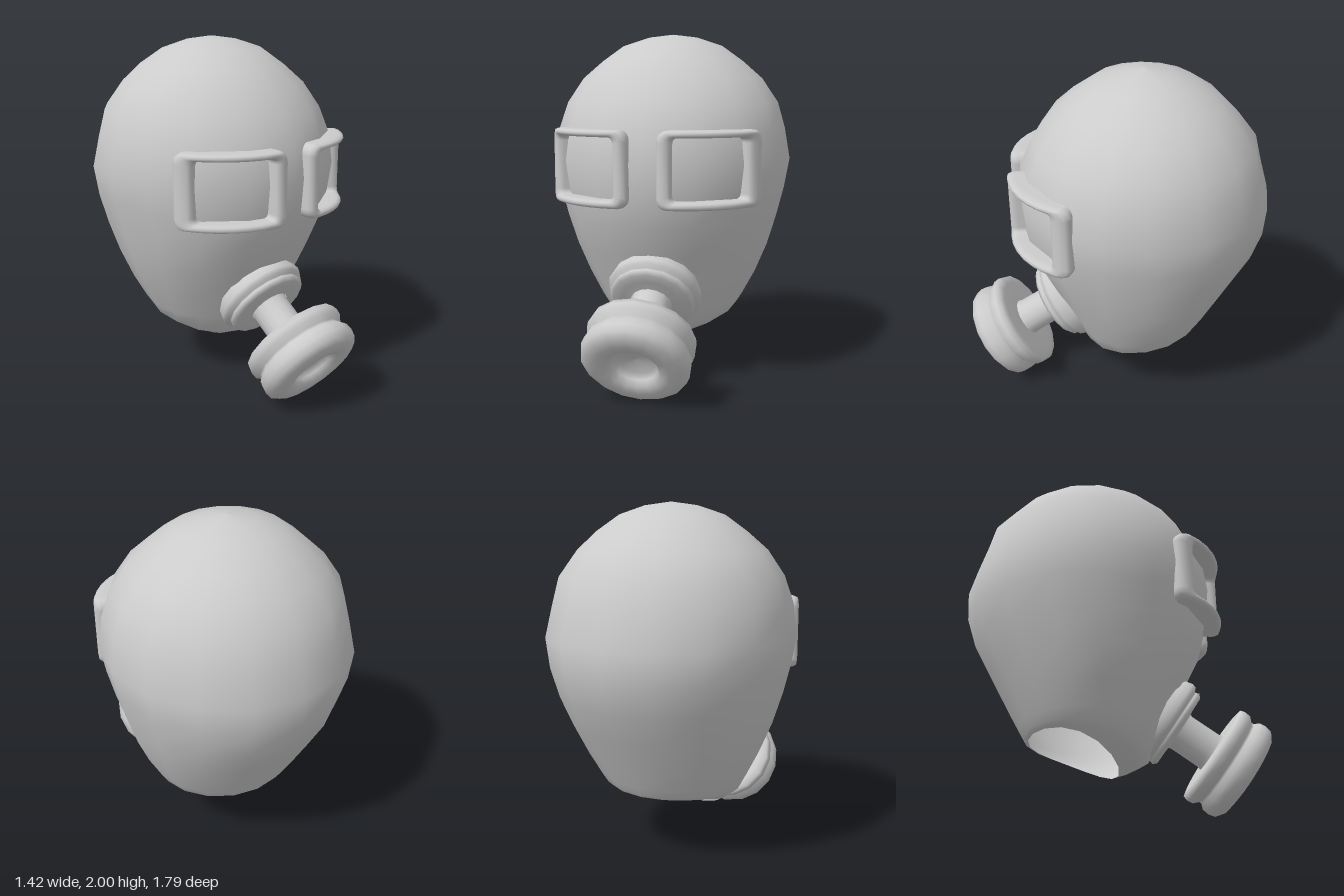
import * as THREE from 'three';

const material = new THREE.MeshStandardMaterial({ color: 0xcccccc, side: THREE.DoubleSide });

// Smooth surface through a list of closed loops with equal point counts
function loft(name, loops) {
  const n = loops[0].length, index = [];
  for (let i = 0; i < loops.length - 1; i++) {
    for (let j = 0; j < n; j++) {
      const a = i * n + j, b = i * n + (j + 1) % n;
      index.push(a, a + n, b, b, a + n, b + n);
    }
  }
  const geometry = new THREE.BufferGeometry();
  geometry.setAttribute('position', new THREE.Float32BufferAttribute(loops.flat(2), 3));
  geometry.setIndex(index);
  geometry.computeVertexNormals();
  const mesh = new THREE.Mesh(geometry, material);
  mesh.name = name;
  return mesh;
}

// Hood: each row is front height, back height, half width, front z, back z
function hood() {
  const rows = [
    [2.0, 2.0, 0.002, -0.168, -0.172],
    [1.98, 1.98, 0.15, -0.03, -0.31],
    [1.93, 1.93, 0.3, 0.12, -0.45],
    [1.84, 1.84, 0.425, 0.25, -0.59],
    [1.74, 1.74, 0.54, 0.36, -0.69],
    [1.6, 1.6, 0.635, 0.46, -0.8],
    [1.45, 1.45, 0.68, 0.53, -0.84],
    [1.27, 1.27, 0.71, 0.555, -0.895],
    [1.1, 1.1, 0.68, 0.54, -0.885],
    [0.93, 0.93, 0.638, 0.495, -0.83],
    [0.75, 0.75, 0.585, 0.405, -0.73],
    [0.58, 0.58, 0.515, 0.32, -0.635],
    [0.4, 0.45, 0.44, 0.24, -0.56],
    [0.28, 0.4, 0.4, 0.18, -0.53],
    [0.235, 0.385, 0.36, 0.1, -0.515],
    [0.2, 0.38, 0.32, 0.01, -0.5], // rim of the neck opening
  ];
  const sides = 16;
  return loft('hood', rows.map(([yFront, yBack, w, zFront, zBack]) =>
    Array.from({ length: sides }, (_, j) => {
      const a = (j / sides) * Math.PI * 2, c = Math.cos(a);
      const y = yBack + (yFront - yBack) * Math.pow((1 + c) / 2, 2.2);
      return [w * Math.sin(a), y, (zFront + zBack) / 2 + c * (zFront - zBack) / 2];
    })));
}

// Rounded rectangle, counter-clockwise, with its long edges subdivided
function roundedRect(u0, u1, v0, v1, r) {
  const points = [];
  const corners = [[u1 - r, v1 - r], [u0 + r, v1 - r], [u0 + r, v0 + r], [u1 - r, v0 + r]];
  corners.forEach(([cu, cv], k) => {
    for (let s = 0; s <= 4; s++) {
      const a = (k + s / 4) * Math.PI / 2;
      points.push([cu + r * Math.cos(a), cv + r * Math.sin(a)]);
    }
    const [u, v] = points[points.length - 1];
    if (k % 2 === 0) { // top and bottom edges
      const end = k === 0 ? u0 + r : u1 - r;
      for (let s = 1; s < 6; s++) points.push([u + (end - u) * s / 6, v]);
    }
  });
  return points;
}

// Eye frame: rounded rectangular band bent around a vertical cylinder
function eyeFrame(side) {
  const R = 0.525, cx = 0.115, cz = 0.07;
  const outer = [-0.04, 0.64, 1.04, 1.46], hole = [0.045, 0.515, 1.085, 1.42];
  // each step: blend from hole to outer edge, radius from the bend axis
  const section = [[0, 0.41], [0, 0.48], [0.04, 0.505], [0.2, 0.52], [0.5, 0.526],
    [0.8, 0.52], [0.96, 0.5], [1, 0.475], [1, 0.41]];
  const loops = section.map(([t, radius]) => {
    const [u0, u1, v0, v1] = hole.map((h, k) => h + (outer[k] - h) * t);
    return roundedRect(u0, u1, v0, v1, 0.03 + 0.03 * t).map(([u, v]) => {
      const a = u / R;
      return [side * (cx + radius * Math.sin(a)), v, cz + radius * Math.cos(a)];
    });
  });
  return loft(side > 0 ? 'leftEyeFrame' : 'rightEyeFrame', side > 0 ? loops : loops.reverse());
}

// Turned part from radius / distance pairs along the filter axis
function turned(name, profile) {
  const points = profile.map(([r, s]) => new THREE.Vector2(r, s));
  const mesh = new THREE.Mesh(new THREE.LatheGeometry(points, 16), material);
  mesh.name = name;
  return mesh;
}

// Breathing filter, tilted forward and down
function filter() {
  const group = new THREE.Group();
  group.name = 'filter';
  group.add(
    turned('flange', [[0.24, -0.12], [0.262, -0.07], [0.27, -0.03], [0.262, -0.005], [0.238, 0.005],
      [0.238, 0.015], [0.245, 0.03], [0.225, 0.05], [0.17, 0.05], [0.12, 0.055]]),
    turned('neckTube', [[0.125, 0.03], [0.11, 0.07], [0.11, 0.25], [0.12, 0.29]]),
    turned('canister', [[0.1, 0.275], [0.25, 0.272], [0.295, 0.28], [0.303, 0.31], [0.298, 0.345],
      [0.272, 0.37], [0.272, 0.385], [0.295, 0.41], [0.3, 0.45], [0.29, 0.49], [0.255, 0.515],
      [0.2, 0.525], [0.15, 0.515], [0.125, 0.485], [0.11, 0.45], [0, 0.44]]),
  );
  group.position.set(0, 0.51, 0.32);
  group.rotation.x = THREE.MathUtils.degToRad(123.2);
  return group;
}

export function createModel() {
  const model = new THREE.Group();
  model.name = 'gasMask';
  model.add(hood(), eyeFrame(1), eyeFrame(-1), filter());
  return model;
}
